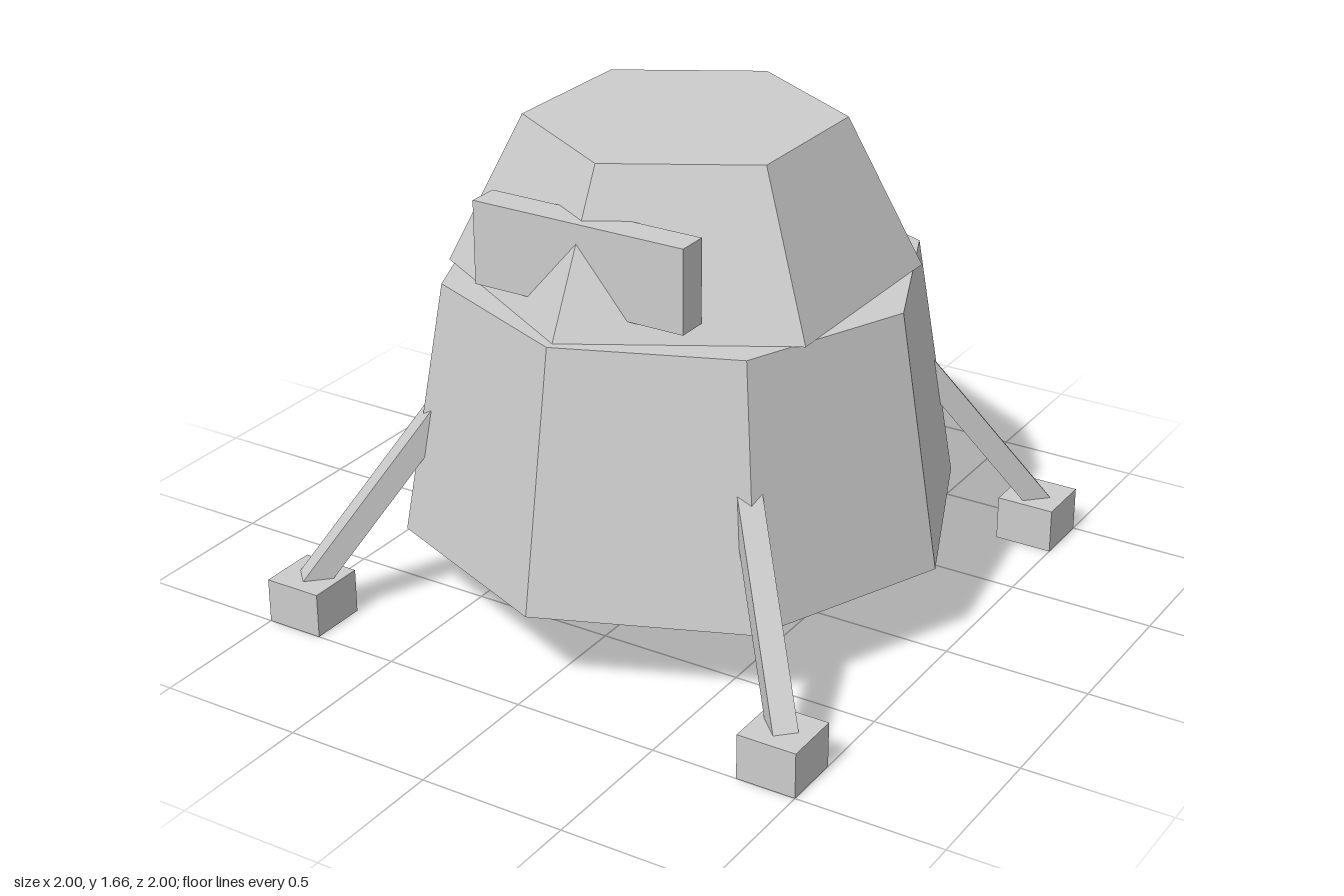
import * as THREE from 'three';

export function createModel() {
  const model = new THREE.Group();
  model.name = 'landingCapsule';
  const grey = new THREE.MeshStandardMaterial({ color: 0xcccccc });
  grey.name = 'hull grey';

  const add = (parent, name, geometry, x, y, z) => {
    const mesh = new THREE.Mesh(geometry, grey);
    mesh.name = name;
    mesh.position.set(x, y, z);
    parent.add(mesh);
    return mesh;
  };

  // Tapered prism with flat sides and a corner facing the front
  const prism = (top, bottom, height, sides) => {
    const g = new THREE.CylinderGeometry(top, bottom, height, sides).toNonIndexed();
    g.computeVertexNormals();
    return g;
  };

  // Eight-sided lower hull and six-sided cabin
  add(model, 'lowerHull', prism(0.8, 0.947, 0.866, 8), 0, 0.723, 0);
  add(model, 'cabin', prism(0.52, 0.77, 0.505, 6), 0, 1.4075, 0);

  // Window block cut by the front ridge of the cabin
  add(model, 'windowBlock', new THREE.BoxGeometry(0.765, 0.28, 0.107), 0, 1.36, 0.578);

  // Four diagonal legs, each a sloping square strut on a foot block
  const up = new THREE.Vector3(0, 1, 0);
  const strutGeometry = new THREE.BoxGeometry(0.08, 1, 0.08);
  const footGeometry = new THREE.BoxGeometry(0.203, 0.155, 0.203);
  const names = ['frontLeft', 'backLeft', 'backRight', 'frontRight'];
  names.forEach((name, i) => {
    const leg = new THREE.Group();
    leg.name = name + 'Leg';
    leg.rotation.y = Math.PI / 4 + i * Math.PI / 2;
    model.add(leg);

    const low = new THREE.Vector3(0, 0.08, 1.311);
    const high = new THREE.Vector3(0, 0.75, 0.79);
    const mid = low.clone().add(high).multiplyScalar(0.5);
    const strut = add(leg, name + 'Strut', strutGeometry, mid.x, mid.y, mid.z);
    const along = high.clone().sub(low);
    strut.scale.y = along.length();
    strut.quaternion.setFromUnitVectors(up, along.normalize());

    // Feet stay square to the axes
    const foot = add(leg, name + 'Foot', footGeometry, 0, 0.0775, 0.8985 * Math.SQRT2);
    foot.rotation.y = Math.PI / 4;
  });

  return model;
}
